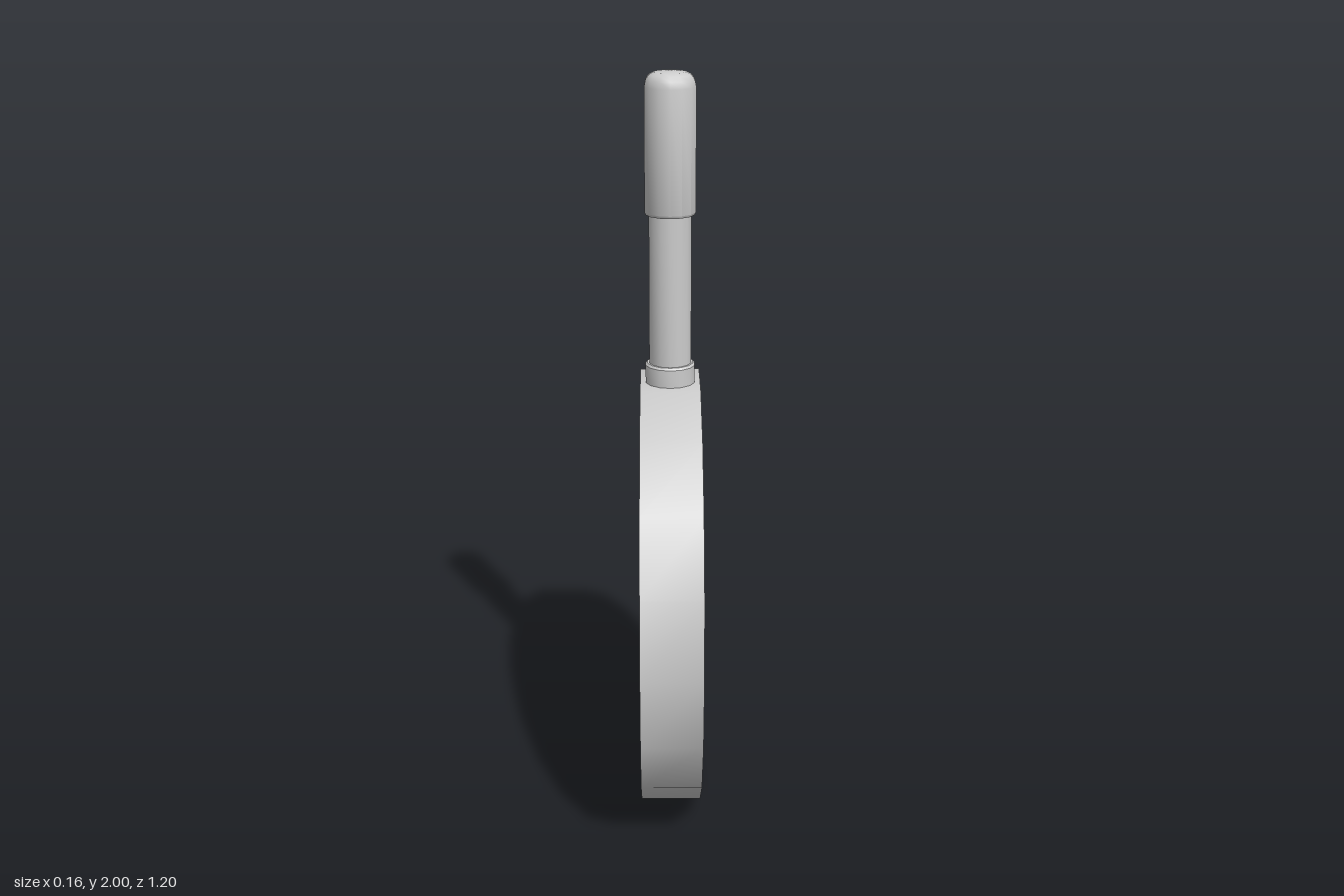
import * as THREE from 'three';
import { toCreasedNormals } from 'three/addons/utils/BufferGeometryUtils.js';

const material = new THREE.MeshStandardMaterial({ color: 0xcccccc });

// Turned part from [radius, height] points, smooth around and crisp at sharp edges
function turned(name, points, sides) {
  const profile = points.map(([r, y]) => new THREE.Vector2(r, y));
  const geometry = toCreasedNormals(new THREE.LatheGeometry(profile, sides), 0.65);
  const mesh = new THREE.Mesh(geometry, material);
  mesh.name = name;
  return mesh;
}

export function createModel() {
  const model = new THREE.Group();
  model.name = 'fryingPan';

  // Shallow 18-sided dish standing on its rim, open towards +x
  const dish = turned('dish', [
    [0, -0.08], [0.6, -0.08], [0.6, 0.08],
    [0.582, 0.08], [0.582, -0.06], [0, -0.06],
  ], 18);
  dish.geometry.rotateZ(-Math.PI / 2);
  dish.position.y = 0.591;
  model.add(dish);

  // Handle: collar, shaft and round-ended grip
  const handle = new THREE.Group();
  handle.name = 'handle';
  handle.position.z = 0.004;
  handle.add(
    turned('collar', [[0, 1.175], [0.067, 1.175], [0.067, 1.23], [0.062, 1.236], [0, 1.236]], 14),
    turned('shaft', [[0, 1.2], [0.057, 1.2], [0.057, 1.66], [0, 1.66]], 14),
    turned('grip', [
      [0, 1.635], [0.064, 1.635], [0.068, 1.642], [0.068, 1.96],
      [0.064, 1.978], [0.056, 1.99], [0.042, 1.997], [0, 2],
    ], 14),
  );
  model.add(handle);

  return model;
}
